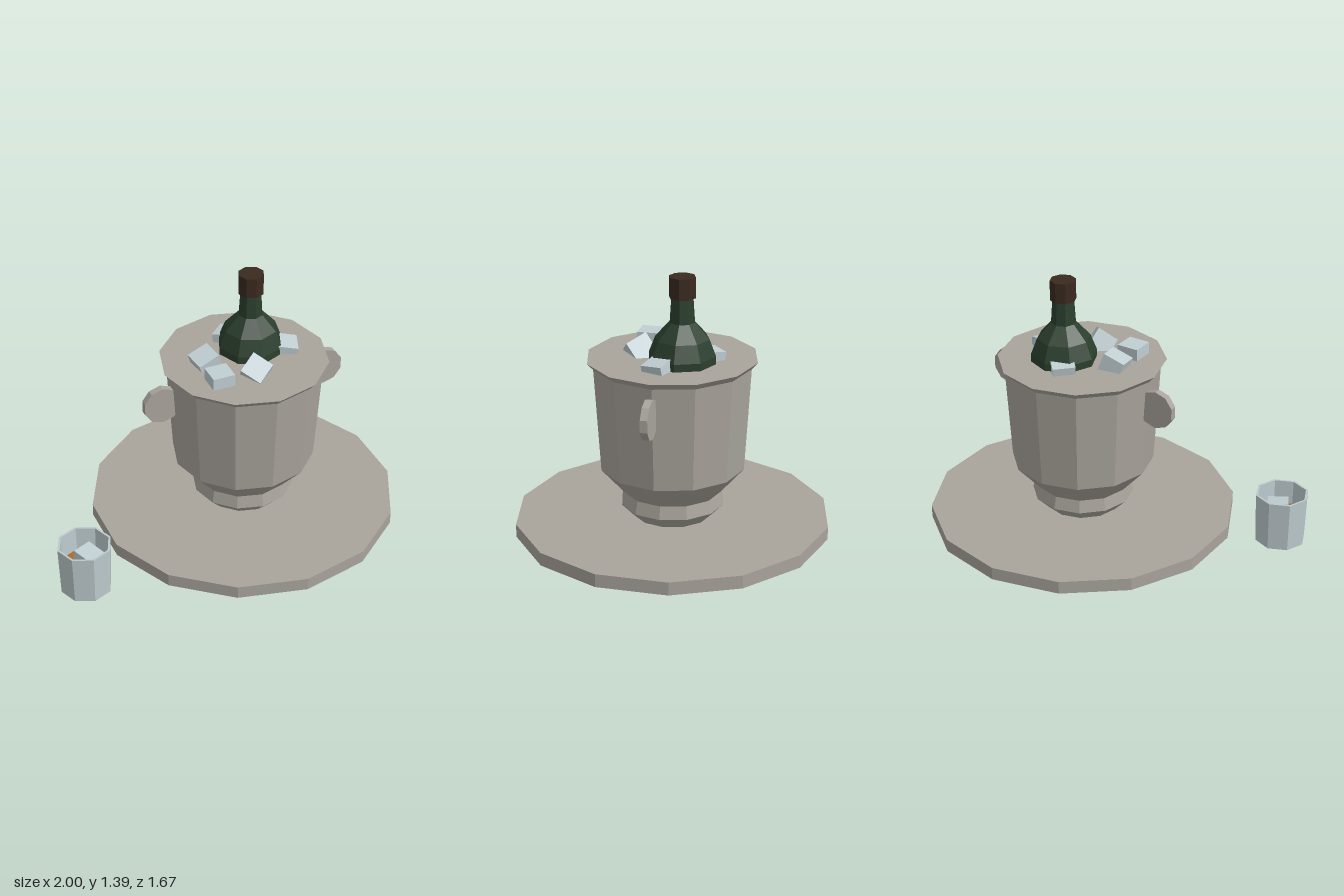
import * as THREE from 'three';

const paint = (color) => new THREE.MeshStandardMaterial({ color });

export function createModel() {
  const model = new THREE.Group();
  const metal = paint(0xa9a49c); metal.name = 'brushed metal';
  const green = paint(0x2b3f2e); green.name = 'bottle green';
  const brown = paint(0x3a2a20); brown.name = 'cap brown';
  const iceBlue = paint(0xc0ced2); iceBlue.name = 'ice';
  const clear = paint(0xbccacd); clear.name = 'tumbler glass';
  const amber = paint(0xb4651f); amber.name = 'amber drink';

  // faceted mesh helper
  function add(name, geometry, material, x = 0, y = 0, z = 0, rx = 0, ry = 0, rz = 0) {
    const faceted = geometry.index ? geometry.toNonIndexed() : geometry;
    faceted.computeVertexNormals();
    const mesh = new THREE.Mesh(faceted, material);
    mesh.name = name;
    mesh.position.set(x, y, z);
    mesh.rotation.set(rx, ry, rz);
    model.add(mesh);
    return mesh;
  }
  const lathe = (profile, sides) =>
    new THREE.LatheGeometry(profile.map(([r, y]) => new THREE.Vector2(r, y)), sides);

  const cx = 0.187;

  // tray
  add('tray', new THREE.CylinderGeometry(0.833, 0.833, 0.07, 14), metal, cx, 0.035, 0);

  // footed bucket, closed at the ice level
  add('bucket', lathe([
    [0, 0.07], [0.207, 0.07], [0.275, 0.14], [0.26, 0.21], [0.383, 0.35],
    [0.417, 0.905], [0.448, 0.94], [0, 0.94],
  ], 12), metal, cx, 0, 0);

  // disc handles on both sides
  for (const side of [-1, 1]) {
    add(side < 0 ? 'rightHandle' : 'leftHandle',
      new THREE.CylinderGeometry(0.104, 0.104, 0.038, 10), metal,
      cx + side * 0.468, 0.765, 0, Math.PI / 2);
  }

  // bottle and its cap
  const bx = 0.254, bz = -0.07;
  add('bottle', lathe([
    [0, 0.88], [0.176, 0.88], [0.176, 0.98], [0.142, 1.068], [0.066, 1.152],
    [0.056, 1.3], [0, 1.3],
  ], 8), green, bx, 0, bz);
  add('bottleCap', new THREE.CylinderGeometry(0.069, 0.069, 0.11, 8), brown, bx, 1.335, bz);

  // ice cubes: x, y, z, then tilt
  const cubes = [
    [-0.025, 0.945, 0.17, 0, 0, 0],
    [-0.025, 0.95, -0.01, 0.1, 0.15, 0.32],
    [0.18, 0.955, 0.17, 0.5, 0.65, 0.3],
    [0.415, 0.93, 0.01, 0.1, -0.35, -0.15],
    [0.18, 0.935, -0.19, -0.25, 0.75, 0.15],
  ];
  for (const [x, y, z, rx, ry, rz] of cubes) {
    add('iceCube', new THREE.BoxGeometry(0.12, 0.12, 0.12), iceBlue, x, y, z, rx, ry, rz);
  }

  // tumbler with wall thickness, drink and one cube
  const gx = -0.855, gz = 0.347;
  add('tumbler', lathe([
    [0, 0], [0.136, 0], [0.144, 0.277], [0.132, 0.277], [0.124, 0.03], [0, 0.03],
  ], 8), clear, gx, 0, gz);
  add('drink', new THREE.CylinderGeometry(0.126, 0.122, 0.11, 8), amber, gx, 0.09, gz);
  add('tumblerIce', new THREE.BoxGeometry(0.11, 0.11, 0.11), iceBlue,
    gx + 0.018, 0.165, gz - 0.002, 0.15, 0.45, -0.12);

  return model;
}
